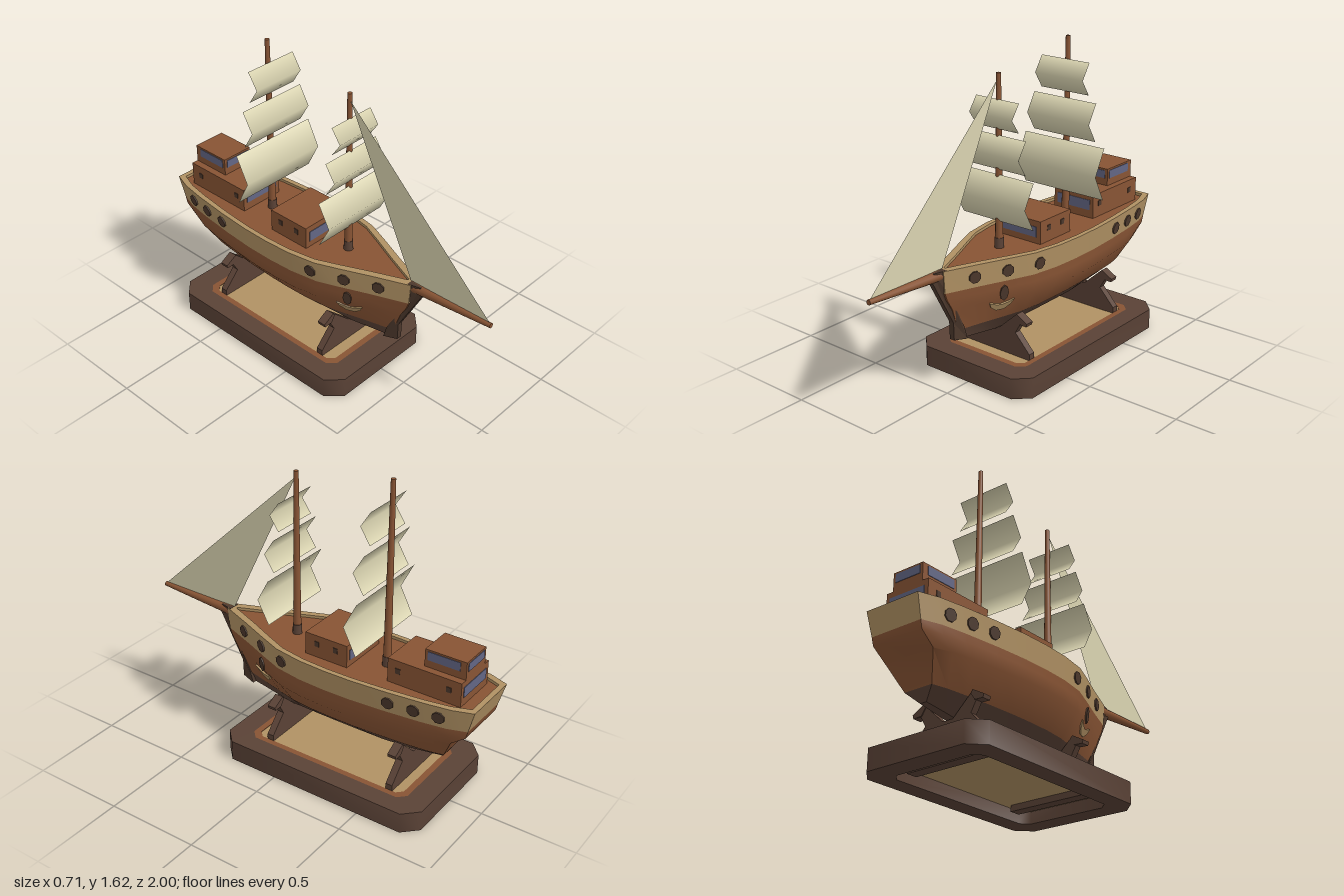
import * as THREE from 'three';
import { toCreasedNormals } from 'three/addons/utils/BufferGeometryUtils.js';

const mat = (name, color) => {
  const m = new THREE.MeshStandardMaterial({ color, side: THREE.DoubleSide });
  m.name = name;
  return m;
};

export function createModel() {
  const model = new THREE.Group();
  model.name = 'shipOnStand';
  const wood = mat('warmWood', 0x885434);
  const tan = mat('tanTrim', 0xb09163);
  const dark = mat('darkWood', 0x5a4236);
  const port = mat('portholeBrown', 0x4c382c);
  const glass = mat('windowBlue', 0x626684);
  const cloth = mat('sailCloth', 0xd9d3b0);

  const add = (name, geo, material, x = 0, y = 0, z = 0) => {
    const m = new THREE.Mesh(geo, material);
    m.name = name;
    m.position.set(x, y, z);
    model.add(m);
    return m;
  };
  // box given by half width, y range and z range
  const block = (name, material, hx, y0, y1, z0, z1) =>
    add(name, new THREE.BoxGeometry(hx * 2, y1 - y0, z1 - z0), material, 0, (y0 + y1) / 2, (z0 + z1) / 2);
  const poly = pts => new THREE.Shape(pts.map(p => new THREE.Vector2(p[0], p[1])));
  const extrude = (shape, depth) =>
    new THREE.ExtrudeGeometry(shape, { depth, bevelEnabled: false }).translate(0, 0, -depth / 2);

  // ---- Hull: closed loops at several heights, joined in strips ----
  const plan = [[0, 0.155], [0.065, 0.19], [0.15, 0.212], [0.28, 0.235], [0.4, 0.249], [0.5, 0.251],
    [0.6, 0.243], [0.7, 0.217], [0.78, 0.168], [0.88, 0.103], [1, 0.03]];
  const width = s => {
    const k = Math.max(1, plan.findIndex(p => p[0] >= s));
    const [a, b] = [plan[k - 1], plan[k]];
    return a[1] + (b[1] - a[1]) * (s - a[0]) / (b[0] - a[0]);
  };
  const levels = [
    { y: 0.23, zs: -0.78, zb: 0.42, w: 0.12, sheer: 0.035 },
    { y: 0.32, zs: -0.815, zb: 0.43, w: 0.52 },
    { y: 0.45, zs: -0.88, zb: 0.48, w: 0.92 },
    { y: 0.51, zs: -0.957, zb: 0.515, w: 0.94 },
    { y: 0.55, zs: -0.967, zb: 0.53, w: 0.95 },
    { y: 0.667, zs: -1, zb: 0.54, w: 1 },
  ];
  const ring = (l, inset = 0) => {
    const right = plan.map(([s, w]) => [
      Math.max(w * l.w - inset, 0.004),
      l.y + (l.sheer || 0) * Math.max(0, Math.abs(s - 0.5) - 0.28) / 0.22,
      l.zs + s * (l.zb - l.zs)]);
    return [...right, ...right.slice().reverse().map(([x, y, z]) => [-x, y, z])];
  };
  const quads = (list, crease = 0.6) => {
    const pos = [];
    for (const [a, b, c, d] of list) pos.push(...a, ...b, ...c, ...a, ...c, ...d);
    const g = new THREE.BufferGeometry();
    g.setAttribute('position', new THREE.Float32BufferAttribute(pos, 3));
    return toCreasedNormals(g, crease);
  };
  const strip = (lo, hi) => lo.map((p, i) => {
    const j = (i + 1) % lo.length;
    return [p, hi[i], hi[j], lo[j]];
  });
  const cap = (r, up) => plan.slice(1).map((_, i) => {
    const e = r.length - 1;
    const q = [r[i], r[i + 1], r[e - i - 1], r[e - i]];
    return up ? q.reverse() : q;
  });
  const rings = levels.map(l => ring(l));
  const inner = y => ring({ y, zs: -0.972, zb: 0.5, w: 1 }, 0.026);
  add('hullBottom', quads([...cap(rings[0], false), ...strip(rings[0], rings[1])]), dark);
  add('hullSides', quads([1, 2, 3].flatMap(i => strip(rings[i], rings[i + 1])), 1), wood);
  add('bulwark', quads([...strip(rings[4], rings[5]), ...strip(rings[5], inner(0.667)),
    ...strip(inner(0.667), inner(0.652))]), tan);
  add('deck', quads(cap(inner(0.652), true)), wood);

  // stem post, narrowed along its leading edge
  const stem = extrude(poly([[0.52, 0.668], [0.59, 0.668], [0.597, 0.62], [0.46, 0.37], [0.457, 0.275],
    [0.38, 0.262], [0.4, 0.33], [0.5, 0.53]]), 0.064).rotateY(-Math.PI / 2);
  const sp = stem.attributes.position;
  for (let i = 0; i < sp.count; i++)
    if (sp.getZ(i) > 0.58 || (sp.getZ(i) > 0.44 && sp.getY(i) < 0.4)) sp.setX(i, sp.getX(i) * 0.45);
  stem.computeVertexNormals();
  add('stemPost', stem, port);

  // ---- Hull fittings, laid on the hull surface ----
  const hullX = (z, y) => {
    const k = levels.findIndex(l => l.y >= y);
    const at = l => width(THREE.MathUtils.clamp((z - l.zs) / (l.zb - l.zs), 0, 1)) * l.w;
    const [a, b] = [levels[k - 1], levels[k]];
    return THREE.MathUtils.lerp(at(a), at(b), (y - a.y) / (b.y - a.y));
  };
  const onHull = (name, geo, material, z, y, side) => {
    const e = 0.012, x = hullX(z, y);
    const n = new THREE.Vector3(side, -(hullX(z, y + e) - hullX(z, y - e)) / (2 * e),
      -(hullX(z + e, y) - hullX(z - e, y)) / (2 * e)).normalize();
    const m = add(name, geo, material, side * x, y, z);
    m.lookAt(m.position.clone().add(n));
    m.position.addScaledVector(n, 0.003);
  };
  const disc = new THREE.CylinderGeometry(0.032, 0.032, 0.009, 8).rotateX(Math.PI / 2).rotateZ(Math.PI / 8);
  const shank = new THREE.CylinderGeometry(0.021, 0.021, 0.009, 8).rotateX(Math.PI / 2).scale(1.1, 2, 1);
  const flukes = extrude(poly([[-0.068, 0.03], [-0.055, -0.002], [-0.022, -0.03], [0.022, -0.03], [0.055, -0.002],
    [0.068, 0.03], [0.03, 0.014], [0, 0.006], [-0.03, 0.014]]), 0.009);
  for (const side of [-1, 1]) {
    for (const z of [0.385, 0.22, 0.05, -0.58, -0.71, -0.835]) onHull('porthole', disc, port, z, 0.605, side);
    onHull('anchorShank', shank, port, 0.23, 0.487, side);
    onHull('anchorFlukes', flukes, tan, 0.23, 0.416, side);
  }

  // ---- Cabins with windows ----
  const cabin = (name, hx, y0, y1, z0, z1, wy0, wy1, sideZ) => {
    block(name, wood, hx, y0, y1, z0, z1);
    for (const z of [z0, z1]) block(name + 'Window', glass, hx * 0.83, wy0, wy1, z - 0.003, z + 0.003);
    for (const side of [-1, 1]) for (const z of sideZ)
      add(name + 'Porthole', new THREE.BoxGeometry(0.006, 0.028, 0.026), port, side * hx, y0 + 0.08, z);
  };
  cabin('midCabin', 0.143, 0.645, 0.772, -0.292, -0.047, 0.685, 0.74, [-0.115, -0.225]);
  cabin('sternCabin', 0.127, 0.645, 0.78, -0.91, -0.513, 0.695, 0.75, [-0.57, -0.845]);
  cabin('wheelhouse', 0.09, 0.78, 0.873, -0.91, -0.69, 0.82, 0.863, []);
  for (const side of [-1, 1])
    add('wheelhouseSideWindow', new THREE.BoxGeometry(0.006, 0.045, 0.172), glass, side * 0.09, 0.841, -0.792);

  // ---- Masts and square sails: [half width, bottom, top] ----
  const rig = (name, z, top, sailZ, sails) => {
    const x = 0.004;
    add(name, new THREE.CylinderGeometry(0.012, 0.021, top - 0.64, 12), wood, x, (top + 0.64) / 2, z);
    add(name + 'Collar', new THREE.CylinderGeometry(0.023, 0.025, 0.06, 12), dark, x, 0.675, z);
    for (const [hx, y0, y1] of sails) {
      const h = y1 - y0, d = 0.03 + h * 0.147;
      const r = (h * h / 4 + d * d) / (2 * d), a = 2 * Math.atan(2 * d / h);
      // each sail is folded once across the middle, with soft normals
      const g = new THREE.CylinderGeometry(r, r, hx * 2, 2, 1, true, -a, 2 * a)
        .rotateZ(Math.PI / 2).translate(0, 0, -r * Math.cos(a));
      add(name + 'Sail', g, cloth, x, (y0 + y1) / 2, sailZ);
    }
  };
  rig('mainMast', -0.435, 1.625, -0.415, [[0.253, 0.811, 1.086], [0.197, 1.11, 1.31], [0.15, 1.343, 1.51]]);
  rig('foreMast', 0.105, 1.535, 0.115, [[0.223, 0.794, 1.034], [0.175, 1.06, 1.232], [0.133, 1.262, 1.408]]);

  // bowsprit and triangular jib
  const sprit = add('bowsprit', new THREE.CylinderGeometry(0.013, 0.028, 0.47, 12), wood, 0, 0.651, 0.76);
  sprit.rotation.x = Math.PI / 2 - 0.045;
  add('jib', new THREE.ShapeGeometry(poly([[0.112, 1.5], [0.515, 0.67], [0.988, 0.67]])).rotateY(-Math.PI / 2), cloth);

  // ---- Stand: hollow plinth, inlay and two cradles ----
  const plate = (x, z0, z1, c) => [[-x, z0 + c], [-x, z1 - c], [-x + c, z1], [x - c, z1],
    [x, z1 - c], [x, z0 + c], [x - c, z0], [-x + c, z0]];
  const slab = (pts, hole, y0, y1) => {
    const s = poly(pts);
    if (hole) s.holes.push(poly(hole));
    return toCreasedNormals(new THREE.ExtrudeGeometry(s, { depth: y1 - y0, bevelEnabled: false })
      .rotateX(Math.PI / 2).translate(0, y1, 0), 0.9);
  };
  const outer = plate(0.355, -0.823, 0.347, 0.075), frame = plate(0.255, -0.705, 0.235, 0.04);
  const panel = plate(0.225, -0.672, 0.202, 0.03);
  add('plinth', slab(outer, frame, 0, 0.11), dark);
  add('inlayBorder', slab(frame, panel, 0.07, 0.11), wood);
  add('inlayFloor', slab(frame, null, 0.062, 0.069), tan);
  add('inlayPanel', slab(panel, null, 0.069, 0.107), tan);

  const half = [[0.225, 0.04], [0.225, 0.14], [0.135, 0.235], [0.165, 0.288], [0.205, 0.288], [0.21, 0.305],
    [0.145, 0.34], [0.08, 0.28], [0.03, 0.233]];
  const cradle = extrude(poly([...half, ...half.slice().reverse().map(([x, y]) => [-x, y])]), 0.037);
  const hook = [[0.158, 0.29], [0.207, 0.287], [0.212, 0.305], [0.147, 0.341], [0.135, 0.325]];
  for (const z of [0.12, -0.603]) {
    add('cradle', cradle, dark, 0, 0, z);
    block('cradleFoot', dark, 0.225, 0.03, 0.065, z - 0.03, z + 0.03);
    for (const side of [-1, 1])
      add('cradleHook', extrude(poly(hook.map(([x, y]) => [side * x, y])), 0.046), dark, 0, 0, z);
  }

  return model;
}
